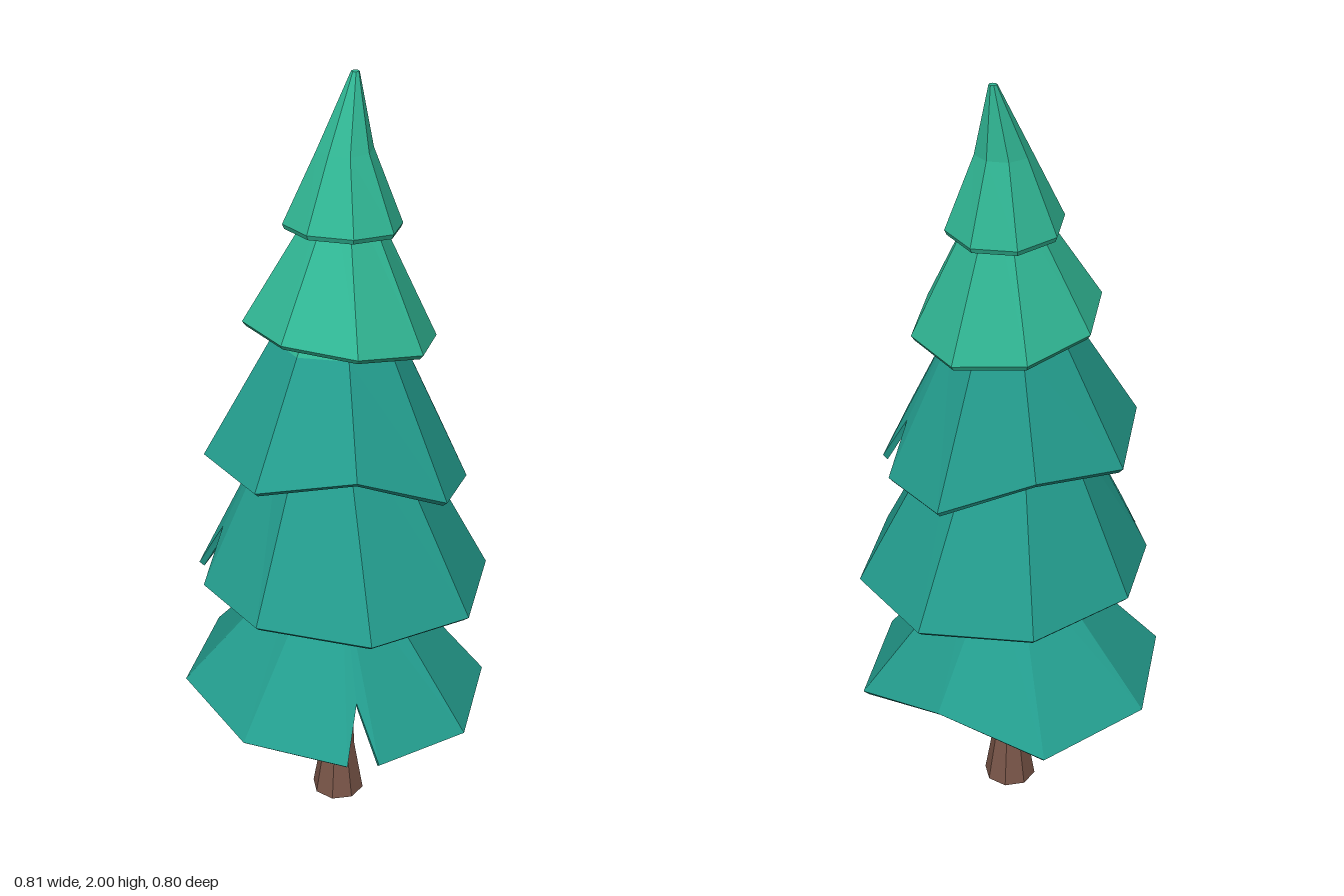
import * as THREE from 'three';

const SIDES = 8;
const STEP = Math.PI * 2 / SIDES;

function material(name, color) {
  const m = new THREE.MeshStandardMaterial({ color, flatShading: true });
  m.name = name;
  return m;
}

// Joins rings (listed from outer top, over the rim, to inner top) with flat faces
function skin(rings, bandMaterial) {
  const pos = [];
  const g = new THREE.BufferGeometry();
  const tri = (a, b, c) => {
    const area = b.clone().sub(a).cross(c.clone().sub(a)).length();
    if (area > 1e-9) [a, b, c].forEach(p => pos.push(p.x, p.y, p.z));
  };
  for (let k = 0; k < rings.length - 1; k++) {
    const up = rings[k], lo = rings[k + 1], start = pos.length / 3;
    up.forEach((_, i) => {
      const j = (i + 1) % up.length;
      tri(lo[i], up[i], up[j]);
      tri(lo[i], up[j], lo[j]);
    });
    g.addGroup(start, pos.length / 3 - start, bandMaterial(k));
  }
  g.setAttribute('position', new THREE.Float32BufferAttribute(pos, 3));
  g.computeVertexNormals();
  return g;
}

// Corners run from +x towards +z; a torn corner becomes two points with a raised one between
function rimCorners({ tear, lifts = {} }) {
  const corners = [];
  for (let slot = 0; slot < SIDES; slot++) {
    if (tear && tear.slot === slot) {
      corners.push({ slot, turn: -tear.spread, lift: 0 });
      corners.push({ slot, turn: 0, lift: tear.height });
      corners.push({ slot, turn: tear.spread, lift: 0 });
    } else {
      corners.push({ slot, turn: 0, lift: lifts[slot] || 0 });
    }
  }
  return corners;
}

// Hollow skirt of branches with a tilted, uneven rim
function skirt(tier) {
  const { x, y, z, r, tiltX, tiltZ, necks, split } = tier;
  const corners = rimCorners(tier);
  const ring = ([nx, ny, nz, nr]) => corners.map(({ slot }) => new THREE.Vector3(
    nx + nr * Math.cos(slot * STEP), ny, nz + nr * Math.sin(slot * STEP)));
  const outer = necks.map(ring);
  const neck = outer[outer.length - 1];

  // raised corners slide up the slope towards the neck
  const rim = corners.map(({ slot, turn, lift }, i) => {
    const a = slot * STEP + turn;
    const p = new THREE.Vector3(x + r * Math.cos(a), y, z + r * Math.sin(a));
    p.y += tiltX * p.x + tiltZ * p.z;
    return p.lerp(neck[i], lift / (neck[i].y - p.y));
  });
  const lip = rim.map(p => new THREE.Vector3(p.x * 0.965, p.y - 0.012, p.z * 0.965));

  const [tx, ty, tz] = necks[0];
  const rings = [ring([tx, ty, tz, 0]), ...outer];
  // level where the upper colour ends
  if (split) {
    rings.push(rim.map((p, i) =>
      neck[i].clone().lerp(p, (neck[i].y - split) / (neck[i].y - p.y))));
  }
  rings.push(rim, lip);
  // hollow underside
  for (const [nx, ny, nz, nr] of [...necks].reverse()) {
    rings.push(ring([nx, ny - 0.03, nz, nr * 0.8]));
  }
  rings.push(ring([tx, ty - 0.03, tz, 0]));
  return skin(rings, k => (split && k <= necks.length ? 1 : 0));
}

// Skirts from bottom to top; necks are [x, y, z, radius] from the top down
const tiers = [
  {
    name: 'bottomBranches', x: 0, y: 0.374, z: 0, r: 0.403, tiltX: -0.075, tiltZ: 0,
    necks: [[0, 0.75, 0, 0.09]],
    tear: { slot: 2, spread: 0.1, height: 0.12 }, lifts: { 7: 0.08 },
  },
  {
    name: 'lowerBranches', x: 0.02, y: 0.718, z: 0.015, r: 0.375, tiltX: -0.055, tiltZ: 0.01,
    necks: [[0, 1.2, 0, 0.13]],
    tear: { slot: 4, spread: 0.15, height: 0.13 },
  },
  {
    name: 'middleBranches', x: -0.01, y: 1.045, z: 0.05, r: 0.325, tiltX: -0.15, tiltZ: 0.1,
    necks: [[0.005, 1.52, 0, 0.08]], split: 1.38,
    tear: { slot: 0, spread: 0.15, height: 0.135 }, lifts: { 2: 0.06, 6: 0.07 },
  },
  {
    name: 'upperBranches', x: 0.004, y: 1.4, z: 0.035, r: 0.235, tiltX: -0.15, tiltZ: 0.1,
    necks: [[0.02, 1.75, 0, 0.045]], light: true,
  },
  {
    name: 'topBranches', x: 0.015, y: 1.655, z: 0.003, r: 0.143, tiltX: -0.05, tiltZ: 0.09,
    necks: [[0.05, 2, -0.04, 0.01], [0.022, 1.83, -0.01, 0.067]], light: true,
  },
];

export function createModel() {
  const tree = new THREE.Group();
  tree.name = 'pineTree';
  const bark = material('bark brown', 0x795548);
  const teal = material('teal needles', 0x239c8d);
  const green = material('green needles', 0x30b593);

  for (const tier of tiers) {
    const mesh = new THREE.Mesh(skirt(tier), tier.light ? [green] : [teal, green]);
    mesh.name = tier.name;
    tree.add(mesh);
  }

  // Flared eight-sided trunk
  const profile = [[0, 0], [0.07, 0], [0.045, 0.15], [0.034, 0.48], [0.024, 0.8], [0, 1.1]];
  const trunk = new THREE.Mesh(
    new THREE.LatheGeometry(profile.map(p => new THREE.Vector2(...p)), SIDES), bark);
  trunk.name = 'trunk';
  trunk.rotation.y = STEP / 2;
  trunk.position.set(0.004, 0, 0.004);
  tree.add(trunk);
  return tree;
}
